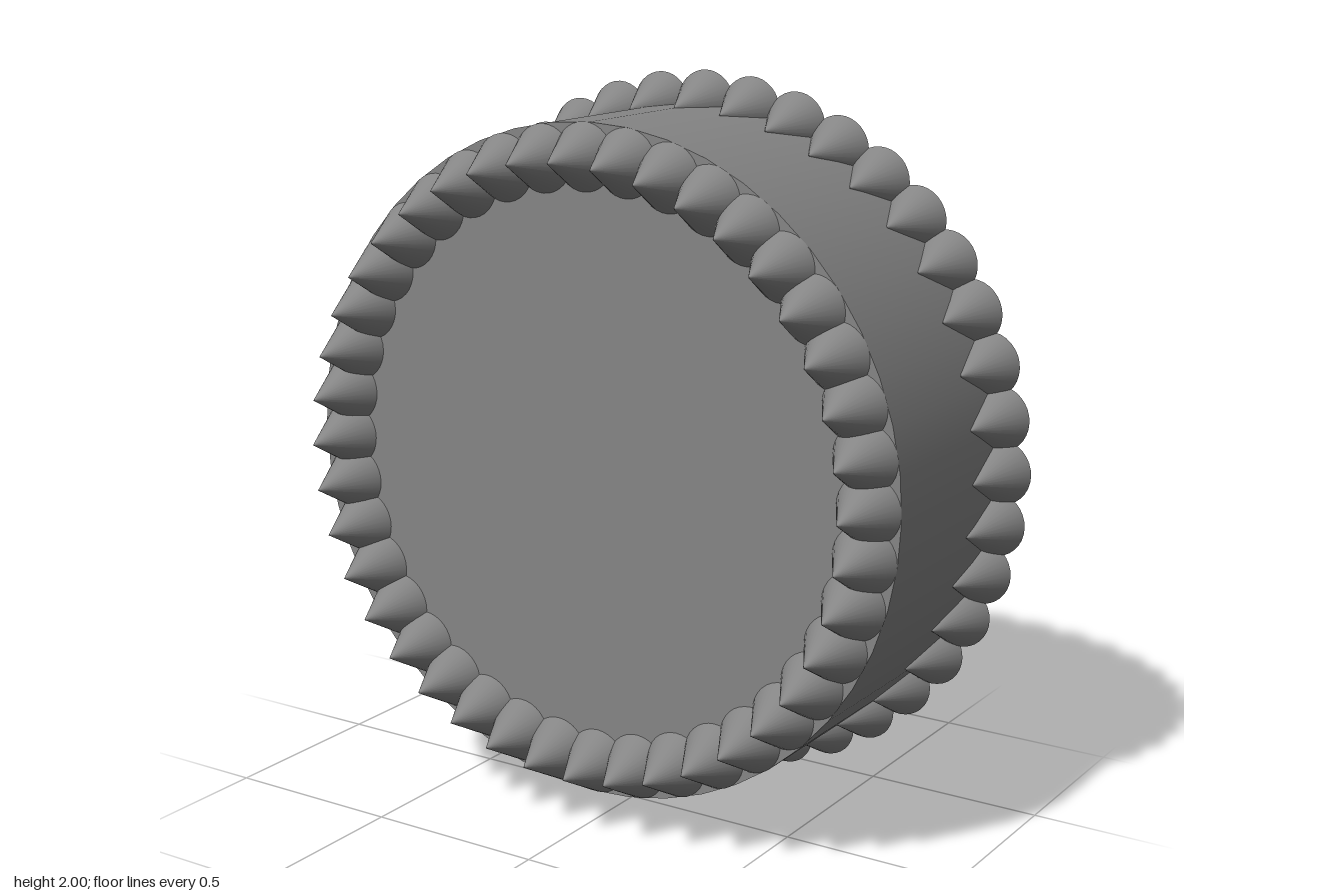
import * as THREE from 'three';

const RADIUS = 0.91, SPIKE_RADIUS = 0.09, SPIKE_HEIGHT = 0.165;
const FRONT = 0.2, BACK = -0.365, COUNT = 40;

export function createModel() {
  const model = new THREE.Group();
  const material = new THREE.MeshStandardMaterial({ color: 0x858585 });

  // Solid drum lying along z
  const drumGeometry = new THREE.CylinderGeometry(RADIUS, RADIUS, FRONT - BACK, 48);
  drumGeometry.rotateX(Math.PI / 2);
  const drum = new THREE.Mesh(drumGeometry, material);
  drum.name = 'drum';
  drum.position.set(0, 1, (FRONT + BACK) / 2);
  model.add(drum);

  // Cone with its base on z = 0 and its tip towards +z
  const spikeGeometry = new THREE.ConeGeometry(SPIKE_RADIUS, SPIKE_HEIGHT, 32);
  spikeGeometry.translate(0, SPIKE_HEIGHT / 2, 0).rotateX(Math.PI / 2);

  function addSpikeRing(name, ringRadius, z, turn) {
    const ring = new THREE.Group();
    ring.name = name;
    ring.position.set(0, 1, z);
    for (let i = 0; i < COUNT; i++) {
      const angle = (i / COUNT) * Math.PI * 2 + turn;
      const spike = new THREE.Mesh(spikeGeometry, material);
      spike.name = 'spike';
      spike.position.set(Math.cos(angle) * ringRadius, Math.sin(angle) * ringRadius, 0);
      ring.add(spike);
    }
    model.add(ring);
  }

  // Front spikes stand inside the rim, back spikes straddle it
  addSpikeRing('frontSpikes', RADIUS - SPIKE_RADIUS, FRONT, 0.02);
  addSpikeRing('backSpikes', RADIUS, BACK, 0);

  return model;
}
